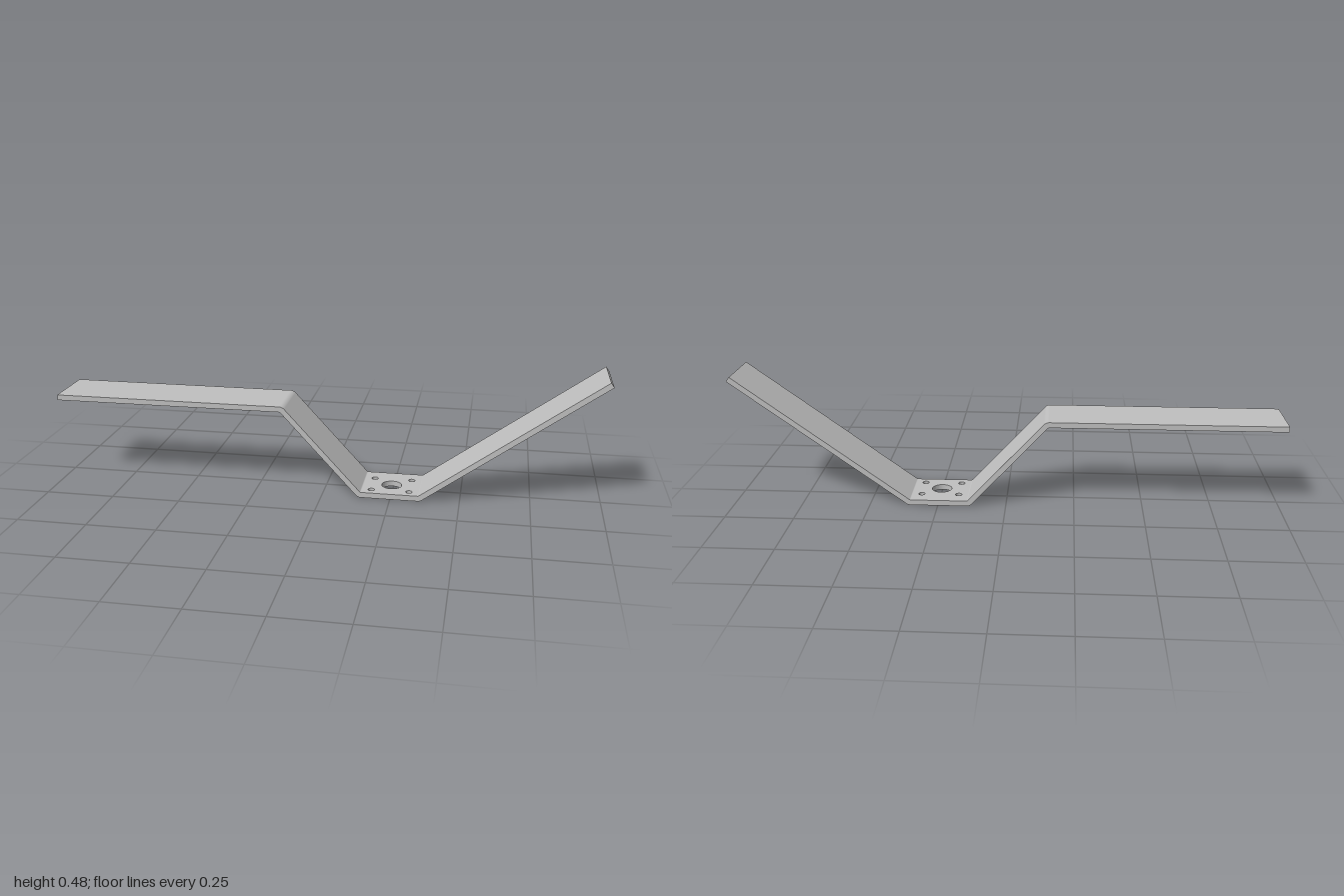
import * as THREE from 'three';

const T = 0.02;       // sheet thickness
const HALF = 0.104;   // half of the strip width
const BEND = 0.016;   // centreline bend radius
const PLATE = [0.148, 0.346]; // flat, drilled stretch of the strip

// Stations [x, y, slope angle] along a centreline, with rounded bends
function stations(pts) {
  const out = [];
  const angle = i => Math.atan2(pts[i + 1][1] - pts[i][1], pts[i + 1][0] - pts[i][0]);
  out.push([...pts[0], angle(0)]);
  for (let i = 1; i < pts.length - 1; i++) {
    const a = angle(i - 1), b = angle(i), s = Math.sign(b - a);
    const run = BEND * Math.tan(Math.abs(b - a) / 2);
    const sx = pts[i][0] - run * Math.cos(a), sy = pts[i][1] - run * Math.sin(a);
    const cx = sx - s * BEND * Math.sin(a), cy = sy + s * BEND * Math.cos(a);
    for (let k = 0; k <= 8; k++) {
      const t = a + (b - a) * k / 8;
      out.push([cx + s * BEND * Math.sin(t), cy - s * BEND * Math.cos(t), t]);
    }
  }
  out.push([...pts.at(-1), angle(pts.length - 2)]);
  return out;
}

// Bent strip, closed only at its free end
function stripGeometry(pts, capStart) {
  const st = stations(pts), pos = [], nor = [], idx = [];
  const corner = ([x, y, a], v, z) => [x - Math.sin(a) * v * T / 2, y + Math.cos(a) * v * T / 2, z * HALF];
  const quad = (corners, normals) => {
    const n = pos.length / 3;
    corners.forEach((c, i) => { pos.push(...c); nor.push(...normals[i]); });
    idx.push(n, n + 1, n + 2, n, n + 2, n + 3);
  };
  for (let i = 0; i < st.length - 1; i++) {
    const p = st[i], q = st[i + 1];
    for (const v of [1, -1]) { // upper and lower skin
      const np = [-Math.sin(p[2]) * v, Math.cos(p[2]) * v, 0];
      const nq = [-Math.sin(q[2]) * v, Math.cos(q[2]) * v, 0];
      quad([corner(p, v, v), corner(q, v, v), corner(q, v, -v), corner(p, v, -v)], [np, nq, nq, np]);
    }
    for (const s of [1, -1]) { // front and back edges
      quad([corner(p, -s, s), corner(q, -s, s), corner(q, s, s), corner(p, s, s)], Array(4).fill([0, 0, s]));
    }
  }
  const e = capStart ? st[0] : st.at(-1), d = capStart ? -1 : 1;
  quad([corner(e, -1, d), corner(e, -1, -d), corner(e, 1, -d), corner(e, 1, d)],
    Array(4).fill([d * Math.cos(e[2]), d * Math.sin(e[2]), 0]));
  const g = new THREE.BufferGeometry();
  g.setAttribute('position', new THREE.Float32BufferAttribute(pos, 3));
  g.setAttribute('normal', new THREE.Float32BufferAttribute(nor, 3));
  g.setIndex(idx);
  return g;
}

// Drilled plate, without the end walls where it joins the arms
function plateGeometry() {
  const [x0, x1] = PLATE;
  const shape = new THREE.Shape([[x0, -HALF], [x1, -HALF], [x1, HALF], [x0, HALF]].map(p => new THREE.Vector2(...p)));
  const drill = (x, z, r) => shape.holes.push(new THREE.Path().absarc(x, -z, r, 0, Math.PI * 2, true));
  const cx = 0.247, cz = 0.013;
  drill(cx, cz, 0.037);
  for (const i of [-1, 1]) for (const j of [-1, 1]) drill(cx + i * 0.069, cz + j * 0.056, 0.012);
  const g = new THREE.ExtrudeGeometry(shape, { depth: T, bevelEnabled: false, curveSegments: 20 });
  g.rotateX(-Math.PI / 2);
  const p = g.attributes.position, keep = [];
  for (let i = 0; i < p.count; i += 3) {
    const onEnd = x => [0, 1, 2].every(k => Math.abs(p.getX(i + k) - x) < 1e-5);
    if (!onEnd(x0) && !onEnd(x1)) keep.push(i, i + 1, i + 2);
  }
  g.clearGroups();
  g.setIndex(keep);
  return g;
}

export function createModel() {
  const metal = new THREE.MeshStandardMaterial({ color: 0xbfbfbf });
  metal.name = 'grey metal';
  const group = new THREE.Group();
  group.name = 'bentBracket';
  const add = (name, geometry) => {
    const mesh = new THREE.Mesh(geometry, metal);
    mesh.name = name;
    group.add(mesh);
  };
  const y = T / 2;
  // Level arm that steps down to the plate
  add('steppedArm', stripGeometry([[-1, 0.32], [-0.149, 0.32], [0.137, y], [PLATE[0], y]], true));
  // Mounting plate with a centre hole and four screw holes
  add('mountingPlate', plateGeometry());
  // Straight arm rising from the plate
  add('risingArm', stripGeometry([[PLATE[1], y], [0.356, y], [0.994, 0.47]], false));
  return group;
}
